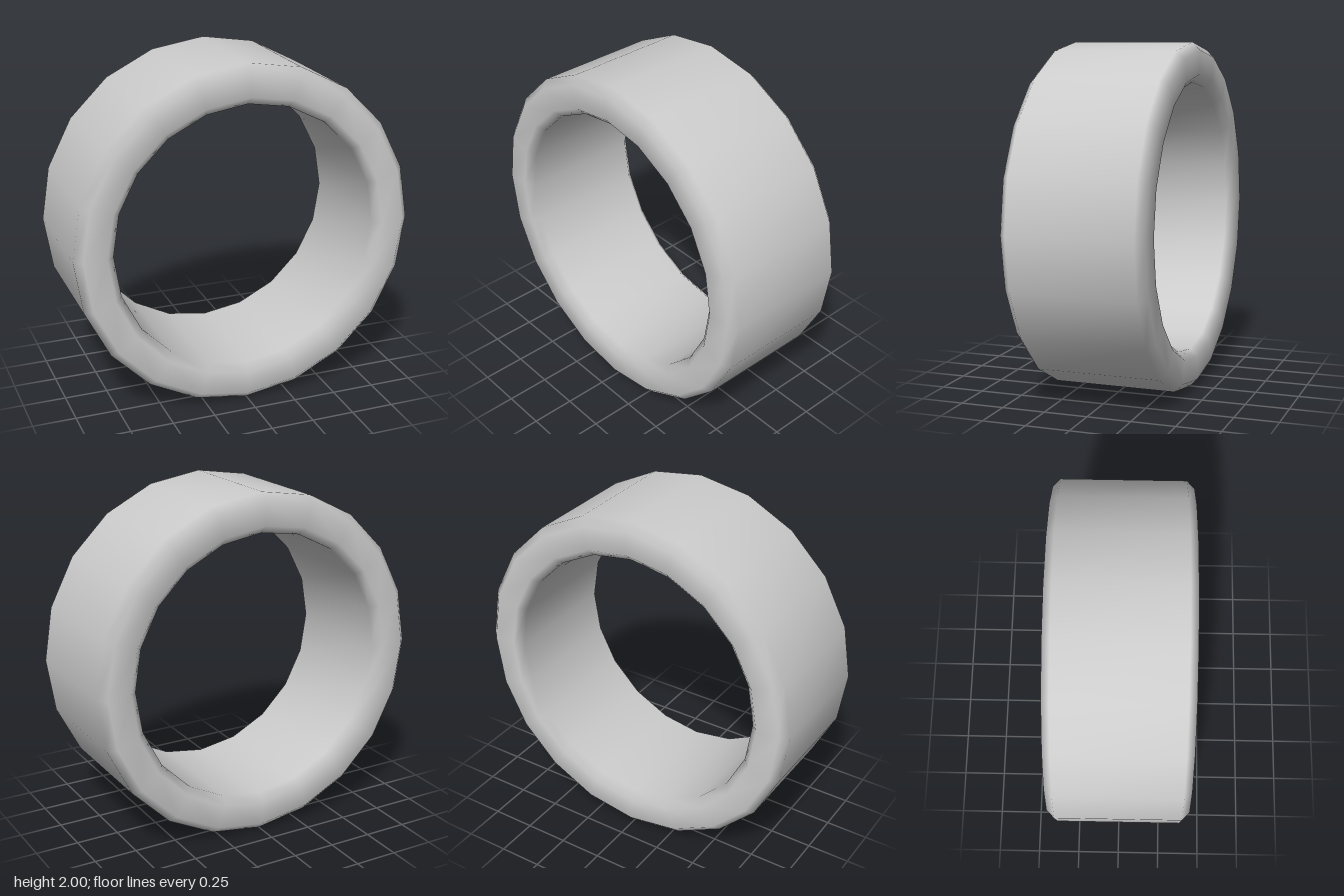
import * as THREE from 'three';
import { mergeVertices } from 'three/addons/utils/BufferGeometryUtils.js';

const OUTER = 1, INNER = 0.775, HALF = 0.4, BEVEL = 0.045, SIDES = 20;

export function createModel() {
  const group = new THREE.Group();
  group.name = 'ring';

  // Chamfered rectangular cross-section (radius, depth), closed on itself
  const profile = [
    [OUTER, -HALF + BEVEL], [OUTER, HALF - BEVEL],
    [OUTER - BEVEL, HALF], [INNER + BEVEL, HALF],
    [INNER, HALF - BEVEL], [INNER, -HALF + BEVEL],
    [INNER + BEVEL, -HALF], [OUTER - BEVEL, -HALF],
    [OUTER, -HALF + BEVEL],
  ].map(([r, d]) => new THREE.Vector2(r, d));

  // Revolve, then weld seams so the shading is smooth all round
  let geometry = new THREE.LatheGeometry(profile, SIDES);
  geometry.deleteAttribute('uv');
  geometry.deleteAttribute('normal');
  geometry = mergeVertices(geometry, 1e-4);
  geometry.computeVertexNormals();

  // Stand the band upright with its axis along z
  geometry.rotateX(Math.PI / 2);
  geometry.translate(0, OUTER, 0);

  const band = new THREE.Mesh(geometry, new THREE.MeshStandardMaterial({ color: 0xcccccc }));
  band.name = 'band';
  group.add(band);
  return group;
}
